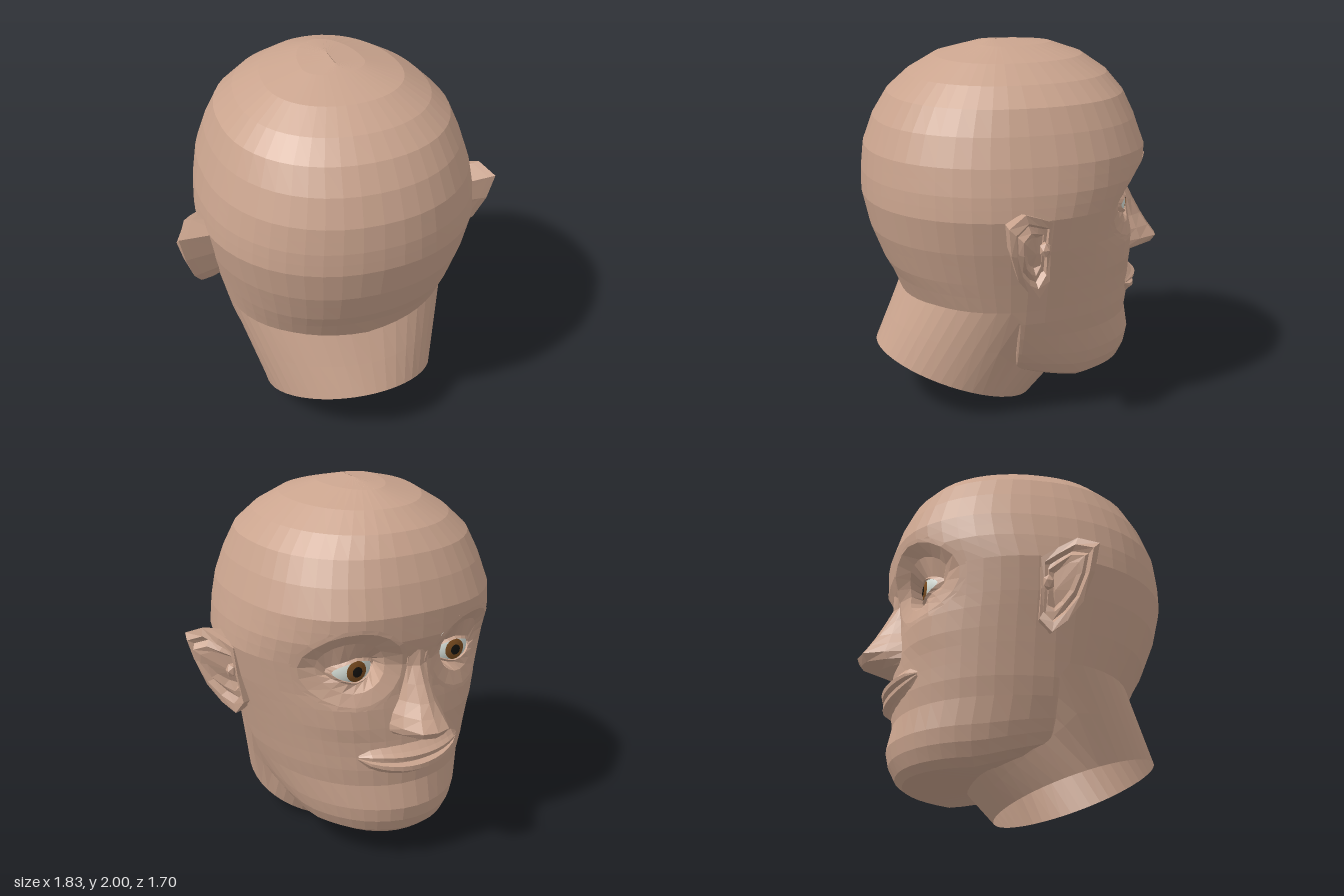
import * as THREE from 'three';

const mat = (color) => new THREE.MeshStandardMaterial({ color, flatShading: true, side: THREE.DoubleSide });
const lerp = THREE.MathUtils.lerp;
const ZC = 0.1; // depth of the widest part of the head

// Head sections: y, half width, front z, back z, squareness of the front
const SECTIONS = [
  [2.0, 0.001, 0.0, 0.14, 2], [1.98, 0.17, -0.2, 0.22, 2], [1.92, 0.37, -0.37, 0.44, 2.1],
  [1.83, 0.51, -0.5, 0.59, 2.2], [1.73, 0.61, -0.58, 0.7, 2.3], [1.6, 0.665, -0.64, 0.78, 2.35],
  [1.45, 0.715, -0.685, 0.835, 2.35], [1.3, 0.745, -0.68, 0.85, 2.25], [1.18, 0.755, -0.63, 0.85, 2.15],
  [1.0, 0.715, -0.63, 0.81, 2.1], [0.82, 0.665, -0.64, 0.74, 2.1], [0.65, 0.62, -0.645, 0.645, 2.1],
  [0.57, 0.6, -0.645, 0.17, 2.1], [0.47, 0.57, -0.635, 0.16, 2.1], [0.33, 0.53, -0.655, 0.15, 2.15],
  [0.25, 0.5, -0.64, 0.14, 2.2], [0.18, 0.46, -0.61, 0.13, 2.2], [0.145, 0.4, -0.57, 0.1, 2.2],
  [0.14, 0.26, -0.19, 0.1, 2],
];

function section(y) {
  let i = 0;
  while (i < SECTIONS.length - 2 && SECTIONS[i + 1][0] > y) i++;
  const a = SECTIONS[i], b = SECTIONS[i + 1];
  const t = THREE.MathUtils.clamp((a[0] - y) / (a[0] - b[0]), 0, 1);
  return a.map((v, k) => lerp(v, b[k], t));
}

// Brow, cheekbone and chin swellings: x, y, x radius, y radius, amount
const BUMPS = [[0.4, 1.42, 0.16, 0.08, 0.015], [0.38, 0.88, 0.16, 0.12, 0.025], [0, 0.3, 0.16, 0.1, 0.012]];
const bump = (x, y) => BUMPS.reduce((s, [bx, by, rx, ry, k]) =>
  s + k * Math.exp(-(((Math.abs(x) - bx) / rx) ** 2) - ((y - by) / ry) ** 2), 0);

// Depth of the face at x, y
function faceZ(x, y) {
  const [, w, zf, , n] = section(y);
  const u = Math.min(1, Math.abs(x) / w);
  return ZC - (ZC - zf) * (1 - u ** n) ** (1 / n) - bump(x, y);
}

// Point at angle a on the head section at height y
function headPoint(a, y) {
  const [, w, zf, zb, nf] = section(y);
  const s = Math.sin(a), c = -Math.cos(a);
  const n = c < 0 ? nf : y < 0.6 ? 4 : 2.15; // the jaw has square back corners
  const x = w * Math.sign(s) * Math.abs(s) ** (2 / n);
  const z = ZC + (c < 0 ? ZC - zf : zb - ZC) * Math.sign(c) * Math.abs(c) ** (2 / n);
  // the nape edge dips in the middle
  const dip = y < 0.7 && z > 0.3 ? 0.03 * Math.max(0, 1 - Math.abs(x) / 0.4) : 0;
  return [x, y - dip, z < 0 ? z - bump(x, y) : z];
}

// Surface through a series of point loops; keep(corners) can leave holes
function loft(name, loops, material, closed = true, keep = () => true) {
  const n = loops[0].length, pts = loops.flat(), index = [];
  for (let r = 0; r < loops.length - 1; r++) {
    for (let i = 0; i < (closed ? n : n - 1); i++) {
      const a = r * n + i, b = r * n + (i + 1) % n;
      if (keep([a, b, a + n, b + n].map((k) => pts[k]))) index.push(a, b, a + n, b, b + n, a + n);
    }
  }
  const g = new THREE.BufferGeometry();
  g.setAttribute('position', new THREE.Float32BufferAttribute(pts.flat(), 3));
  g.setIndex(index);
  g.computeVertexNormals();
  const m = new THREE.Mesh(g, material);
  m.name = name;
  return m;
}

const ring = (n, fn) => Array.from({ length: n }, (_, i) => fn((i / n) * Math.PI * 2));
const EYE = { x: 0.305, y: 1.135, z: -0.4, r: 0.14 };
const SOCKET = { x: 0.335, y: 1.165, rx: 0.25, ry: 0.22 };
// 1 on the socket rim, less inside it
const socketQ = ([x, y, z]) => z > 0 ? 9
  : Math.hypot((Math.abs(x) - SOCKET.x) / SOCKET.rx, (y - SOCKET.y) / SOCKET.ry);

function makeHead(skin) {
  const ys = [2.0, 1.98, 1.92, 1.83, 1.73, 1.6, 1.45, 1.38, 1.31, 1.245, 1.18, 1.12, 1.06, 1.0, 0.93,
    0.82, 0.74, 0.65, 0.57, 0.47, 0.33, 0.25, 0.18, 0.145, 0.14];
  const loops = ys.map((y) => ring(48, (a) => {
    const p = headPoint(a, y), q = socketQ(p);
    if (q > 0.6 && q < 1) {
      // draw the mesh out to the socket rim
      const cx = Math.sign(p[0]) * SOCKET.x;
      const x = cx + (p[0] - cx) / q, ny = SOCKET.y + (y - SOCKET.y) / q;
      return [x, ny, faceZ(x, ny)];
    }
    // the jaw line rises towards the ear
    return [p[0], p[1] + Math.max(0, 0.5 - y) * Math.max(0, p[2] + 0.25) * 0.74, p[2]];
  }));
  const keep = (c) => {
    const inSocket = c.some((p) => socketQ(p) <= 0.6) || c.reduce((s, p) => s + socketQ(p), 0) <= 4.02;
    // open where the neck joins
    const inNeck = c.some((p) => p[1] < 0.6)
      && (c.some((p) => p[2] > 0.25) || c.every((p) => p[2] > 0.09 && Math.abs(p[0]) < 0.42));
    return !inSocket && !inNeck;
  };
  return loft('head', loops, skin, true, keep);
}

function makeNeck(skin) {
  // follows the nape, then the jaw edge down to the throat
  const top = ring(48, (a) => {
    const [x, y, z] = headPoint(a, 0.65);
    const t = (0.08 - z) / 0.73;
    return t < 0 ? [x, y, z] : [x * lerp(0.97, 0.85, Math.min(1, t * 4)), lerp(0.6, 0.17, t), lerp(0.08, -0.23, t)];
  });
  const base = ring(48, (a) => {
    const z = 0.365 - 0.435 * Math.cos(a);
    return [0.47 * Math.sin(a), ((z + 0.07) / 0.87) * 0.31, z];
  });
  const mid = top.map((p, i) => p.map((v, k) => lerp(v, base[i][k], 0.5)));
  return loft('neck', [top, mid, base], skin);
}

function makeEye(side, skin) {
  const g = new THREE.Group();
  g.name = side > 0 ? 'leftEye' : 'rightEye';
  const { x: ex, y: ey, z: ez, r } = EYE;
  const n = 20;
  // socket rim, hollow below the brow, then lids around an almond opening
  const socketLoop = (q, sink) => ring(n, (a) => {
    const s = Math.sin(a);
    const x = SOCKET.x + SOCKET.rx * q * Math.cos(a), y = SOCKET.y + SOCKET.ry * q * s;
    return [side * x, y, faceZ(x, y) + (sink > 0 ? sink * (0.7 + 0.4 * s) : sink)];
  });
  const lidLoop = (k, lift) => ring(n, (a) => {
    const dx = 0.122 * k * Math.cos(a), s = Math.sin(a);
    const dy = 0.062 * k * s * (1 - 0.25 * Math.abs(Math.cos(a)));
    return [side * (ex + dx), ey + dy, ez - Math.sqrt(Math.max(0.002, r * r - dx * dx - dy * dy)) - lift];
  });
  g.add(loft('eyelids', [socketLoop(1.08, -0.004), socketLoop(0.98, -0.004), socketLoop(0.66, 0.045),
    lidLoop(1.2, 0.008), lidLoop(1, 0.014), lidLoop(0.97, -0.01)], skin));

  const ball = new THREE.Group();
  ball.name = 'eyeball';
  // caps of slightly larger spheres make the iris and pupil
  [['eyeWhite', 0xd5ddd6, r, Math.PI], ['iris', 0x7a4c20, r + 0.002, 0.42], ['pupil', 0x14120f, r + 0.004, 0.2]]
    .forEach(([name, color, radius, span]) => {
      const m = new THREE.Mesh(new THREE.SphereGeometry(radius, 20, span > 1 ? 14 : 4, 0, Math.PI * 2, 0, span), mat(color));
      m.material.flatShading = false;
      m.rotation.x = -Math.PI / 2;
      m.name = name;
      ball.add(m);
    });
  ball.position.set(side * ex, ey, ez);
  g.add(ball);
  return g;
}

function makeNose(skin) {
  // y, ridge half width, base half width, ridge z
  const rows = [[1.24, 0.05, 0.07, -0.66], [1.15, 0.035, 0.075, -0.66], [1.06, 0.04, 0.09, -0.705],
    [0.97, 0.045, 0.115, -0.755], [0.9, 0.065, 0.15, -0.8], [0.84, 0.08, 0.165, -0.845],
    [0.8, 0.065, 0.165, -0.82], [0.775, 0.04, 0.14, -0.73], [0.76, 0.02, 0.1, -0.63]];
  const loops = rows.map(([y, w, b, z]) => {
    const zb = faceZ(b, y) + 0.02, half = [[b, zb], [lerp(w, b, 0.6), lerp(z, zb, 0.55)], [w, z + 0.02]];
    const pts = [...half, [0, z], ...half.map(([x, d]) => [-x, d]).reverse()];
    return pts.map(([x, d]) => [x, y, d]);
  });
  return loft('nose', loops, skin, false);
}

function makeMouth(skin) {
  // lip section from philtrum to chin crease: y, forward offset
  const profile = [[0.72, -0.012], [0.675, 0.03], [0.655, 0.055], [0.63, 0.05], [0.62, 0.01],
    [0.603, 0.01], [0.592, 0.045], [0.565, 0.045], [0.545, 0.015], [0.52, -0.012]];
  const loops = Array.from({ length: 13 }, (_, i) => {
    const t = i / 6 - 1, x = 0.31 * t, open = Math.sqrt(1 - t * t);
    return profile.map(([py, off]) => {
      const y = 0.612 + 0.035 * t * t + (py - 0.612) * (0.15 + 0.85 * open);
      return [x, y, faceZ(x, y) - off * (0.15 + 0.85 * open)];
    });
  });
  return loft('lips', loops, skin, false);
}

function makeEar(side, skin) {
  // rim outline: z, y
  const rim = [[0.0, 1.17], [0.08, 1.21], [0.17, 1.25], [0.27, 1.2], [0.25, 1.05], [0.2, 0.9],
    [0.13, 0.81], [0.06, 0.76], [0.0, 0.84], [0.005, 1.0]];
  const cz = 0.1, cy = 1.03;
  const flare = (z, y) => 0.758 + 0.57 * z - 0.15 * Math.max(0, 1.2 - y);
  const loop = (k, dx) => rim.map(([z, y]) => [side * (flare(z, y) + dx), cy + (y - cy) * k, cz + (z - cz) * k]);
  const root = rim.map(([z, y]) => [side * (0.56 + 0.15 * (y - 0.5)), cy + (y - cy) * 0.8, cz + (z - cz) * 0.8]);
  const centre = rim.map(() => [side * 0.73, cy - 0.03, cz - 0.02]);
  const g = new THREE.Group();
  g.name = side > 0 ? 'leftEar' : 'rightEar';
  g.add(loft('earShell', [root, loop(0.97, -0.04), loop(1, 0), loop(0.8, 0.005), loop(0.7, -0.03),
    loop(0.55, -0.01), loop(0.4, -0.04), centre], skin));
  // small flap in front of the ear canal
  const flap = new THREE.Mesh(new THREE.IcosahedronGeometry(0.04, 0), skin);
  flap.name = 'tragus';
  flap.scale.set(0.8, 1.1, 0.8);
  flap.position.set(side * 0.75, 1.03, 0.04);
  g.add(flap);
  return g;
}

export function createModel() {
  const model = new THREE.Group();
  model.name = 'humanHead';
  const skin = mat(0xcaa48e);
  model.add(makeHead(skin), makeNeck(skin), makeNose(skin), makeMouth(skin));
  for (const side of [1, -1]) model.add(makeEye(side, skin), makeEar(side, skin));
  return model;
}
